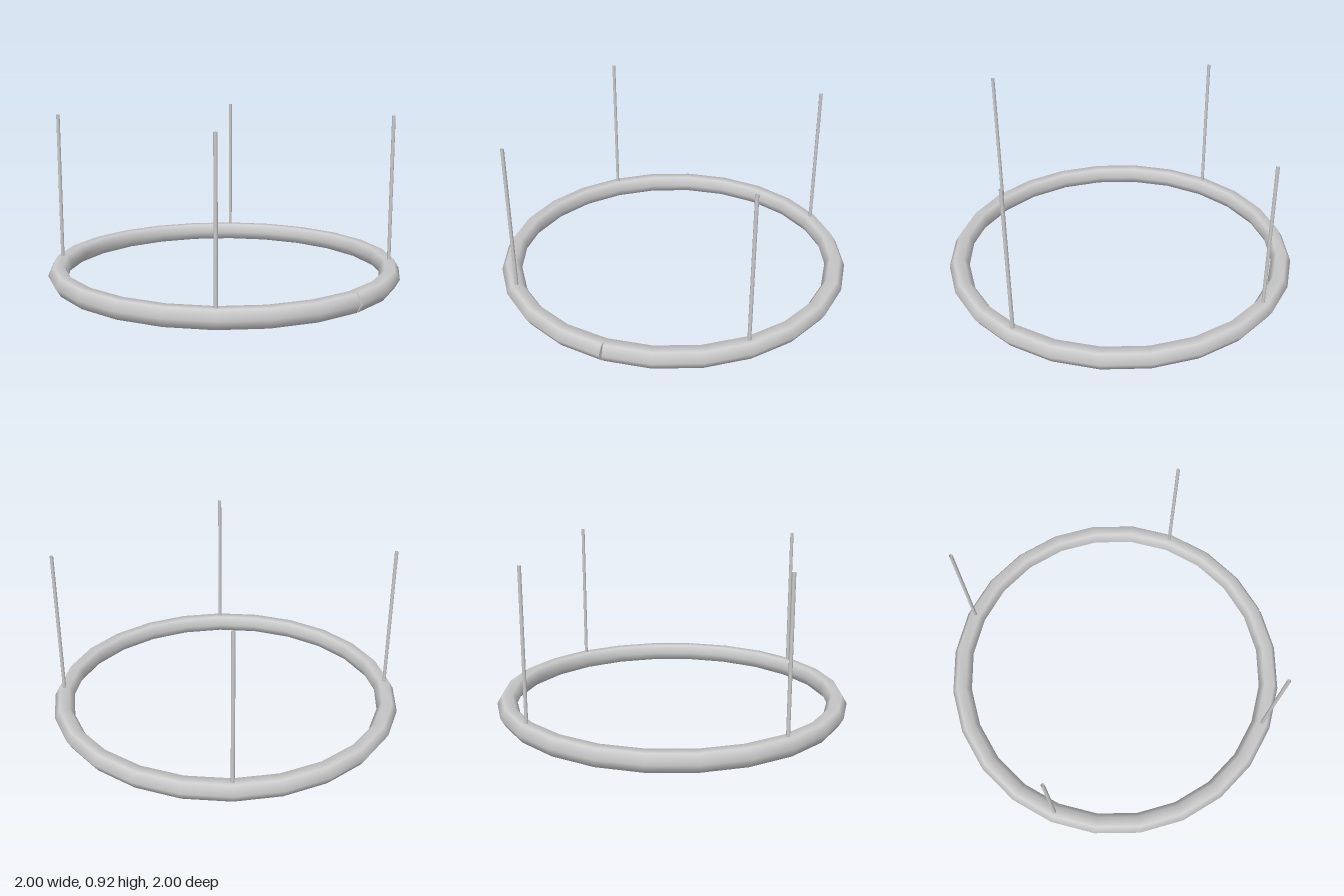
import * as THREE from 'three';

const RING = 0.943;      // radius of the ring's centre line
const TUBE = 0.057;      // radius of the six-sided tube
const SEGMENTS = 24;
const MID_Y = TUBE * Math.sin(Math.PI / 3);
const TILT = Math.PI / SEGMENTS; // the two ends are cut square to their segments

export function createModel() {
  const model = new THREE.Group();
  model.name = 'suspendedRing';
  const material = new THREE.MeshStandardMaterial({ color: 0xcccccc, side: THREE.DoubleSide });

  function add(name, geometry) {
    const mesh = new THREE.Mesh(geometry, material);
    mesh.name = name;
    model.add(mesh);
    return mesh;
  }

  // Ring: bent tube whose square-cut ends leave a thin wedge at the front
  const ring = new THREE.TorusGeometry(RING, TUBE, 6, SEGMENTS);
  const pos = ring.attributes.position;
  for (let j = 0; j <= 6; j++) {
    const d = TUBE * Math.cos((j / 6) * Math.PI * 2);
    for (const [i, side] of [[0, 1], [SEGMENTS, -1]]) {
      const v = j * (SEGMENTS + 1) + i;
      pos.setX(v, RING + d * Math.cos(TILT));
      pos.setY(v, side * d * Math.sin(TILT));
    }
  }
  ring.rotateX(-Math.PI / 2).rotateY(-Math.PI / 2).translate(0, MID_Y, 0);
  add('ring', ring);

  // Flat end caps at the seam
  for (const side of [1, -1]) {
    const cap = new THREE.CircleGeometry(TUBE, 6);
    cap.rotateY(-side * Math.PI / 2).rotateY(side * TILT);
    const mesh = add(side > 0 ? 'leftEndCap' : 'rightEndCap', cap);
    mesh.position.set(0, MID_Y, RING);
  }

  // Four thin open suspension rods
  const bottom = 2 * MID_Y;
  const top = 0.92;
  const rod = new THREE.CylinderGeometry(0.01, 0.01, top - bottom, 8, 1, true);
  const offset = RING * Math.SQRT1_2;
  for (const sx of [1, -1]) {
    for (const sz of [1, -1]) {
      const mesh = add(`${sz > 0 ? 'front' : 'back'}${sx > 0 ? 'Left' : 'Right'}Rod`, rod);
      mesh.position.set(sx * offset, (bottom + top) / 2, sz * offset);
    }
  }
  return model;
}
